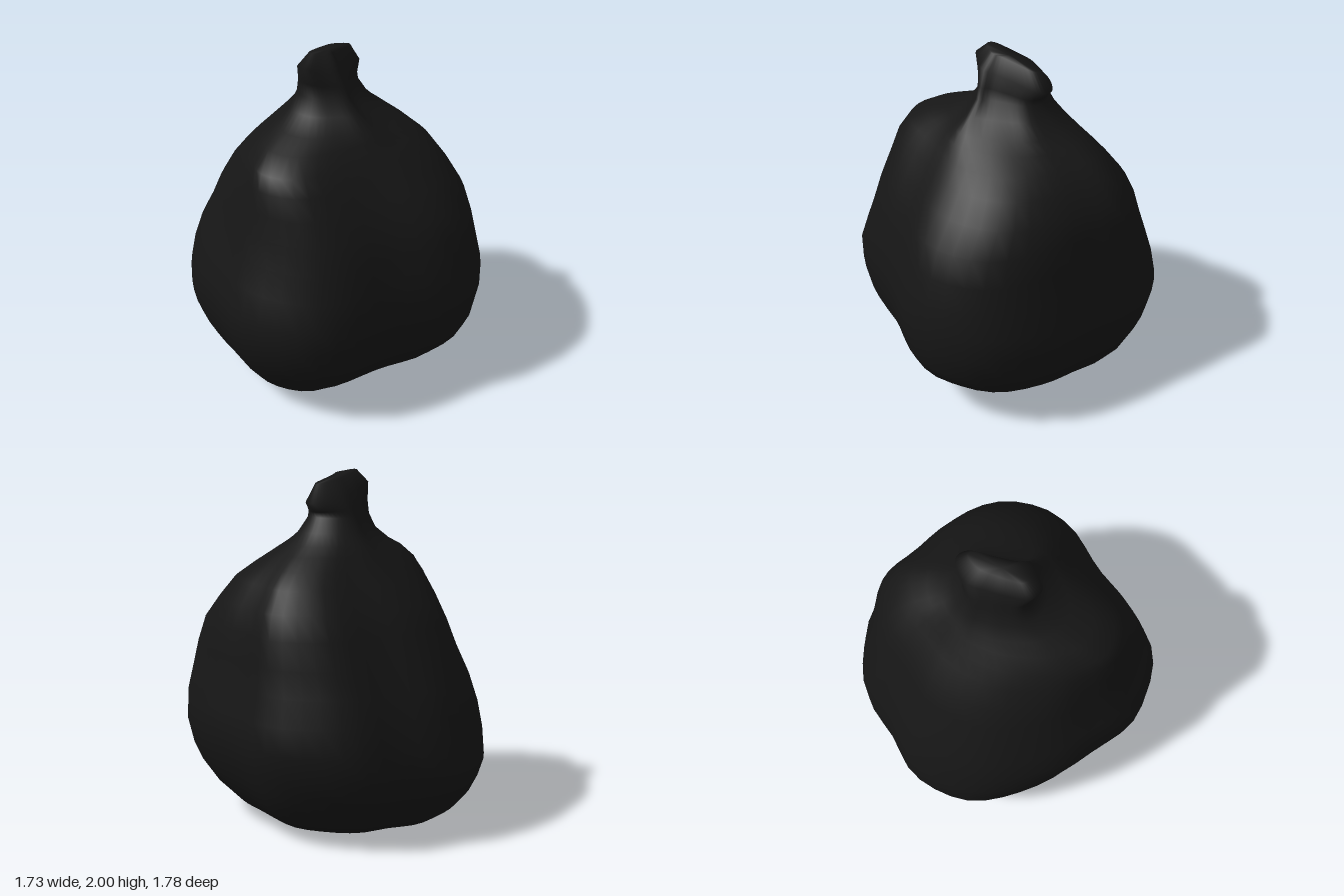
import * as THREE from 'three';

const SIDES = 48;

// Closed smooth outline seen from above, scaled so that x and z both span -1..1
function outline(pairs) {
  const curve = new THREE.CatmullRomCurve3(
    pairs.map(([x, z]) => new THREE.Vector3(x, 0, z)), true);
  const pts = curve.getSpacedPoints(SIDES).slice(0, SIDES);
  const box = new THREE.Box3().setFromPoints(pts);
  return pts.map((p) => [
    p.x > 0 ? p.x / box.max.x : -p.x / box.min.x,
    p.z > 0 ? p.z / box.max.z : -p.z / box.min.z,
  ]);
}

// Lumpy belly outline and pinched neck outline
const belly = outline([
  [0.87, -0.16], [0.79, 0.15], [0.72, 0.42], [0.6, 0.66], [0.45, 0.8], [0.2, 0.88],
  [0, 0.85], [-0.3, 0.69], [-0.66, 0.54], [-0.8, 0.4], [-0.87, 0.06], [-0.75, -0.24],
  [-0.6, -0.53], [-0.28, -0.83], [0, -0.89], [0.2, -0.86], [0.4, -0.74], [0.65, -0.62],
  [0.8, -0.4],
]);
const neck = outline([
  [1, -0.1], [0.85, 0.4], [0.4, 0.6], [0, 0.8], [-0.3, 1], [-0.7, 0.6], [-1, 0.1],
  [-0.85, -0.5], [-0.3, -0.75], [0.2, -0.9], [0.5, -1], [0.8, -0.7],
]);

// Height, right, left, back and front reach, and sideways slant of each ring
const rings = [
  [0, 0, 0, 0, 0, 0],
  [0.003, -0.25, 0.25, -0.25, 0.2, 0],
  [0.015, -0.42, 0.42, -0.45, 0.32, 0],
  [0.05, -0.55, 0.57, -0.64, 0.45, 0],
  [0.11, -0.625, 0.665, -0.73, 0.56, 0],
  [0.2, -0.7, 0.735, -0.81, 0.71, 0],
  [0.3, -0.76, 0.785, -0.86, 0.81, 0],
  [0.4, -0.81, 0.825, -0.89, 0.86, 0],
  [0.55, -0.86, 0.87, -0.86, 0.885, 0],
  [0.7, -0.86, 0.85, -0.82, 0.89, 0],
  [0.85, -0.805, 0.81, -0.77, 0.86, 0],
  [1.0, -0.75, 0.79, -0.69, 0.82, 0],
  [1.15, -0.71, 0.77, -0.62, 0.76, 0],
  [1.28, -0.68, 0.73, -0.54, 0.65, 0],
  [1.4, -0.655, 0.65, -0.44, 0.55, 0],
  [1.48, -0.61, 0.56, -0.375, 0.46, 0],
  [1.55, -0.49, 0.46, -0.32, 0.39, 0],
  [1.6, -0.35, 0.38, -0.28, 0.34, 0],
  [1.67, -0.22, 0.3, -0.225, 0.26, 0],
  [1.75, -0.165, 0.245, -0.185, 0.19, 0],
  [1.81, -0.165, 0.25, -0.165, 0.165, 0.12],
  [1.89, -0.205, 0.3, -0.13, 0.125, 0.2],
  [1.975, -0.13, 0.23, -0.06, 0.065, 0.18],
  [1.975, 0.03, 0.03, 0, 0, 0.18],
];

function sackGeometry() {
  const pos = [], index = [];
  rings.forEach(([y, x0, x1, z0, z1, slant], i) => {
    const t = THREE.MathUtils.smoothstep(y, 1.4, 1.8);
    for (let j = 0; j < SIDES; j++) {
      const u = THREE.MathUtils.lerp(belly[j][0], neck[j][0], t);
      const v = THREE.MathUtils.lerp(belly[j][1], neck[j][1], t);
      const x = x0 === x1 ? x0 : u * (u > 0 ? x1 : -x0);
      const z = v * (v > 0 ? z1 : -z0);
      pos.push(x, y - slant * x, z);
      if (i === rings.length - 1) continue;
      const a = i * SIDES + j, d = i * SIDES + (j + 1) % SIDES;
      index.push(a, a + SIDES, d + SIDES, a, d + SIDES, d);
    }
  });
  const geo = new THREE.BufferGeometry();
  geo.setAttribute('position', new THREE.Float32BufferAttribute(pos, 3));
  geo.setIndex(index);
  geo.computeVertexNormals();
  return geo;
}

export function createModel() {
  const group = new THREE.Group();
  group.name = 'filledBag';
  // Full sack with a gathered, tilted neck
  const sack = new THREE.Mesh(sackGeometry(),
    new THREE.MeshStandardMaterial({ color: 0x161616 }));
  sack.name = 'sack';
  group.add(sack);
  return group;
}
